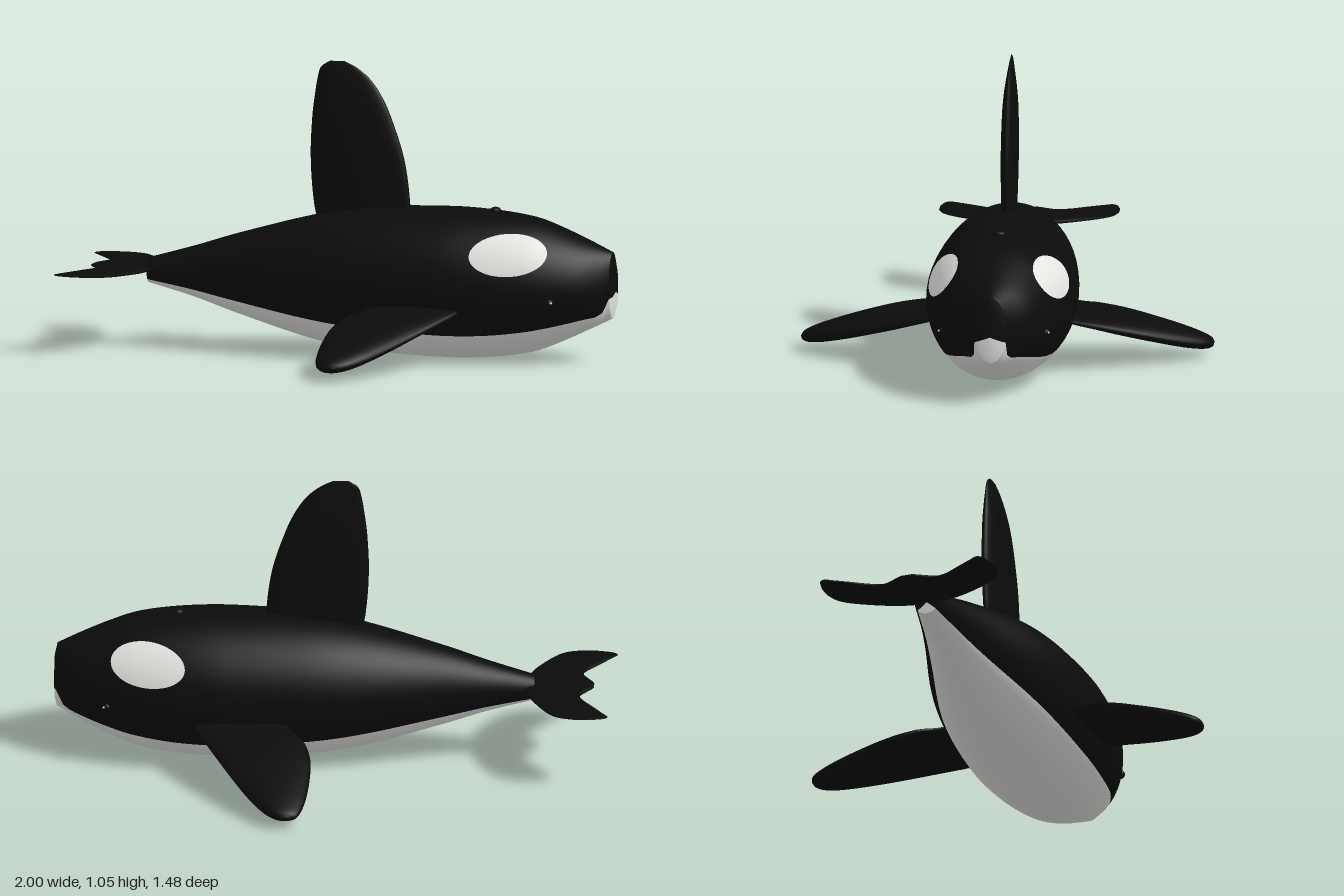
import * as THREE from 'three';

const black = new THREE.MeshStandardMaterial({ color: 0x0b0b0c });
black.name = 'black skin';
const white = new THREE.MeshStandardMaterial({ color: 0xe9ebe6 });
white.name = 'white skin';

// Smooth interpolation of table rows [t, a, b, ...] at t
function sample(rows, t) {
  let i = 0;
  while (i < rows.length - 2 && t > rows[i + 1][0]) i++;
  const p = rows[i], q = rows[i + 1];
  const o = rows[Math.max(i - 1, 0)], r = rows[Math.min(i + 2, rows.length - 1)];
  const d = q[0] - p[0], u = (t - p[0]) / d;
  return p.map((v, k) => {
    const m0 = (q[k] - o[k]) / (q[0] - o[0]) * d;
    const m1 = (r[k] - p[k]) / (r[0] - p[0]) * d;
    return v * (1 + u * u * (2 * u - 3)) + q[k] * u * u * (3 - 2 * u)
      + m0 * u * (1 - u) * (1 - u) + m1 * u * u * (u - 1);
  });
}

// Skin over closed rings; columns from `split` on use the second material
function loft(rings, split) {
  const n = rings[0].length, pos = [], idx = [];
  rings.forEach((ring) => ring.forEach((p) => pos.push(...p)));
  for (let j = 0; j < n; j++) {
    const k = (j + 1) % n;
    for (let i = 0; i < rings.length - 1; i++) {
      const a = i * n, b = a + n;
      idx.push(a + j, b + j, b + k, a + j, b + k, a + k);
    }
  }
  const g = new THREE.BufferGeometry();
  g.setAttribute('position', new THREE.Float32BufferAttribute(pos, 3));
  g.setIndex(idx);
  if (split) {
    const cut = split * (rings.length - 1) * 6;
    g.addGroup(0, cut, 0);
    g.addGroup(cut, idx.length - cut, 1);
  }
  g.computeVertexNormals();
  return g;
}

// Body stations: x, top, bottom, half width, height of the colour border
const bodyRows = [
  [-0.72, 0.318, 0.228, 0.045, 0.243],
  [-0.55, 0.367, 0.182, 0.083, 0.217],
  [-0.4, 0.415, 0.132, 0.123, 0.19],
  [-0.1, 0.496, 0.045, 0.212, 0.142],
  [0.1, 0.528, 0.014, 0.25, 0.12],
  [0.38, 0.54, 0, 0.27, 0.105],
  [0.55, 0.533, 0.007, 0.259, 0.107],
  [0.7, 0.512, 0.03, 0.228, 0.122],
  [0.8, 0.478, 0.068, 0.193, 0.14],
  [0.9, 0.436, 0.115, 0.142, 0.163],
  [0.96, 0.41, 0.144, 0.088, 0.18],
  [0.988, 0.397, 0.158, 0.06, 0.235],
];

function bodyAt(x) {
  const [, top, bottom, w, border] = sample(bodyRows, x);
  return { cy: (top + bottom) / 2, h: (top - bottom) / 2, w, border };
}

function sideZ(x, y) {
  const { cy, h, w } = bodyAt(x);
  return w * Math.sqrt(Math.max(0, 1 - ((y - cy) / h) ** 2));
}

function bodyGeometry() {
  const upper = 40, lower = 24, steps = 70, rings = [];
  for (let i = 0; i <= steps; i++) {
    const x = -0.72 + 1.708 * i / steps;
    const { cy, h, w, border } = bodyAt(x);
    const t = Math.asin(THREE.MathUtils.clamp((border - cy) / h, -1, 1));
    const ring = [];
    for (let j = 0; j < upper + lower; j++) {
      const a = j < upper
        ? t + (Math.PI - 2 * t) * j / upper
        : Math.PI - t + (Math.PI + 2 * t) * (j - upper) / lower;
      ring.push([x, cy + h * Math.sin(a), w * Math.cos(a)]);
    }
    rings.push(ring);
  }
  // Flat tail stump and blunt snout, with doubled rings for a sharp rim
  const tail = rings[0], nose = rings[steps];
  const shrink = (ring, x, y, s) => ring.map((p) => [x, y + (p[1] - y) * s, p[2] * s]);
  rings.unshift(shrink(tail, -0.72, 0.272, 0), tail);
  rings.push(nose, shrink(nose, 0.997, 0.255, 0.7), shrink(nose, 1, 0.255, 0));
  return loft(rings, upper);
}

// Fin rising along y; rows are span, rear x, front x, half thickness
function finGeometry(rows, steps = 40) {
  const n = 28, rings = [], s0 = rows[0][0], s1 = rows[rows.length - 1][0];
  for (let i = 0; i <= steps; i++) {
    const s = s0 + (s1 - s0) * Math.sin(i / steps * Math.PI / 2);
    const [, rear, front, thick] = sample(rows, s);
    const ring = [];
    for (let j = 0; j < n; j++) {
      const a = j / n * Math.PI * 2;
      ring.push([(rear + front) / 2 + (front - rear) / 2 * Math.cos(a), s, thick * Math.sin(a)]);
    }
    rings.push(ring);
  }
  const end = rings[steps], mid = sample(rows, s1);
  rings.push(end.map(() => [(mid[1] + mid[2]) / 2, s1, 0]));
  return loft(rings);
}

const dorsalRows = [
  [0.44, -0.09, 0.24, 0.022], [0.53, -0.113, 0.242, 0.026], [0.7, -0.126, 0.22, 0.03],
  [0.85, -0.12, 0.172, 0.028], [0.93, -0.11, 0.135, 0.022], [0.99, -0.1, 0.092, 0.013],
  [1.03, -0.086, 0.042, 0.006], [1.05, -0.055, 0, 0.001],
];
const flipperRows = [
  [0.19, 0.17, 0.5, 0.015], [0.28, 0.13, 0.478, 0.02], [0.34, 0.085, 0.447, 0.026],
  [0.44, 0.056, 0.393, 0.033], [0.56, 0.052, 0.325, 0.035], [0.67, 0.06, 0.257, 0.032],
  [0.73, 0.073, 0.21, 0.026], [0.76, 0.088, 0.175, 0.018], [0.772, 0.112, 0.15, 0.008],
];
const flukeRows = [
  [0, -0.93, -0.685, 0.014], [0.02, -0.932, -0.686, 0.015], [0.06, -0.908, -0.69, 0.016],
  [0.1, -0.888, -0.7, 0.016], [0.14, -0.9, -0.714, 0.015], [0.2, -0.94, -0.742, 0.013],
  [0.26, -0.98, -0.776, 0.01], [0.29, -0.998, -0.8, 0.007], [0.31, -0.98, -0.83, 0.004],
  [0.322, -0.93, -0.87, 0.001],
];

// Oval patch hugging the side of the head
function patchGeometry(side) {
  const rings = [], n = 48;
  for (let i = 0; i <= 10; i++) {
    const ring = [];
    for (let j = 0; j < n; j++) {
      const a = side * j / n * Math.PI * 2;
      const x = 0.652 + 0.135 * i / 10 * Math.cos(a);
      const y = 0.4 + 0.072 * i / 10 * Math.sin(a);
      ring.push([x, y, side * (sideZ(x, y) + 0.005)]);
    }
    rings.push(ring);
  }
  return loft(rings);
}

export function createModel() {
  const model = new THREE.Group();
  model.name = 'whale';
  const add = (name, geometry, material, x = 0, y = 0, z = 0) => {
    const mesh = new THREE.Mesh(geometry, material);
    mesh.name = name;
    mesh.position.set(x, y, z);
    model.add(mesh);
    return mesh;
  };

  add('body', bodyGeometry(), [black, white]);
  add('dorsalFin', finGeometry(dorsalRows), black);

  // Blowhole
  add('blowhole', new THREE.SphereGeometry(1, 16, 10), black, 0.555, 0.533, 0)
    .scale.set(0.02, 0.012, 0.025);

  // Paired parts on both sides
  const flipper = finGeometry(flipperRows), fluke = finGeometry(flukeRows);
  const ball = new THREE.SphereGeometry(1, 16, 12);
  for (const side of [1, -1]) {
    const label = side > 0 ? 'front' : 'back';
    add(label + 'Flipper', flipper, black, 0, 0.272, 0).rotation.x = side * 1.871;
    add(label + 'Fluke', fluke, black, 0, 0.284, 0).rotation.x = side * Math.PI / 2;
    add(label + 'EyePatch', patchGeometry(side), white);
    const z = side * sideZ(0.8, 0.23);
    add(label + 'Eye', ball, black, 0.8, 0.23, z * 0.97).scale.setScalar(0.017);
    add(label + 'EyeGlint', ball, white, 0.81, 0.233, z * 0.97 + side * 0.0135).scale.setScalar(0.004);
  }
  return model;
}
